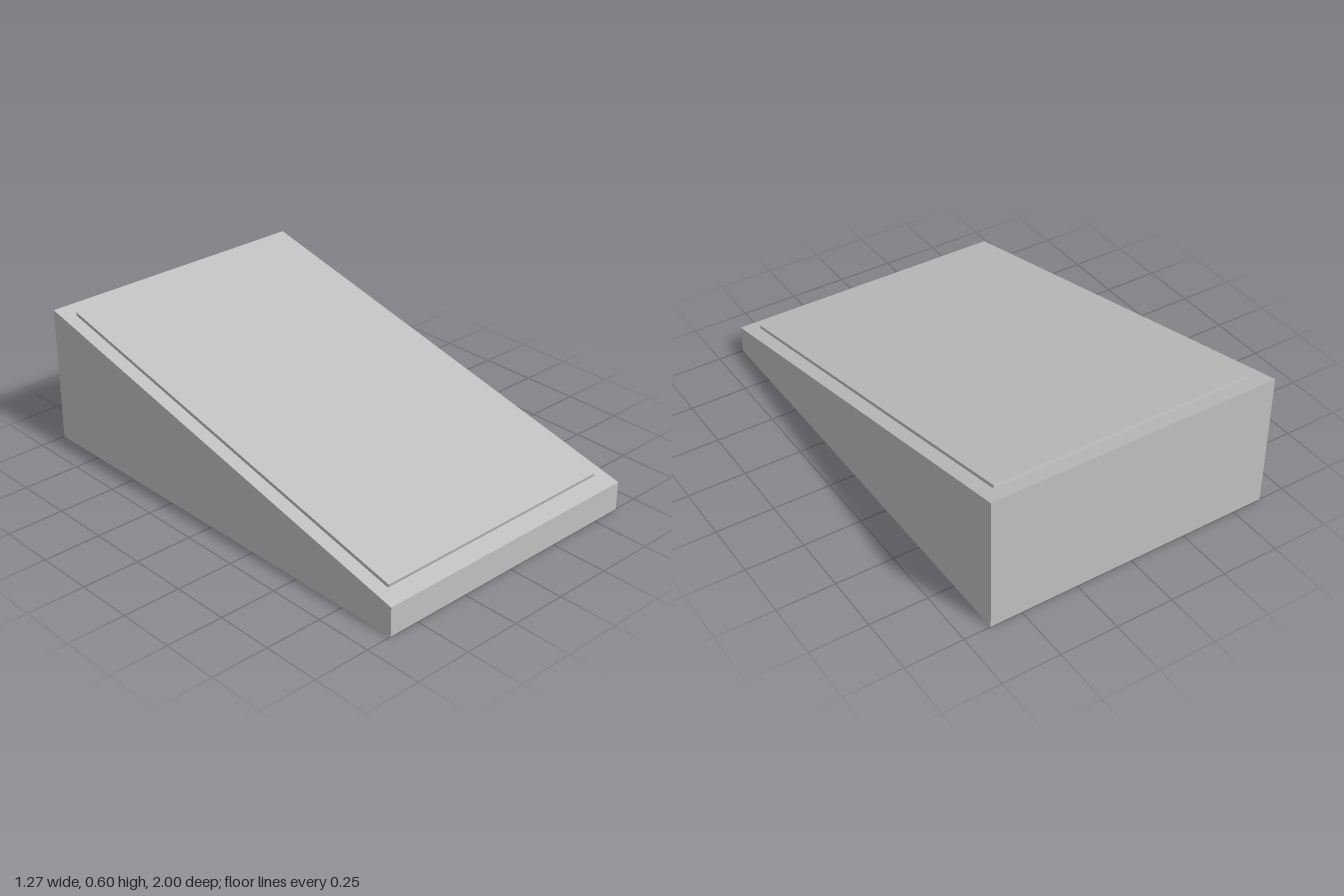
import * as THREE from 'three';

export function createModel() {
  const group = new THREE.Group();
  const grey = new THREE.MeshStandardMaterial({ color: 0xc0c0c0 });
  grey.name = 'light grey';

  const width = 1.27, frontHeight = 0.125, backHeight = 0.6, depth = 2;

  // Wedge body: side profile (shape x = -z) extruded across the width
  const profile = new THREE.Shape([
    new THREE.Vector2(-depth / 2, 0),
    new THREE.Vector2(depth / 2, 0),
    new THREE.Vector2(depth / 2, backHeight),
    new THREE.Vector2(-depth / 2, frontHeight),
  ]);
  const bodyGeometry = new THREE.ExtrudeGeometry(profile, { depth: width, bevelEnabled: false });
  bodyGeometry.translate(0, 0, -width / 2);
  bodyGeometry.rotateY(Math.PI / 2);
  const body = new THREE.Mesh(bodyGeometry, grey);
  body.name = 'wedgeBody';
  group.add(body);

  // Thin raised panel lying on the slope
  const slope = Math.atan2(backHeight - frontHeight, depth);
  const thickness = 0.015;
  const panel = new THREE.Mesh(new THREE.BoxGeometry(1.15, thickness, 1.9), grey);
  panel.name = 'slopedPanel';
  panel.rotation.x = slope;
  panel.position.y = (frontHeight + backHeight) / 2 + thickness / 2 / Math.cos(slope);
  group.add(panel);

  return group;
}
